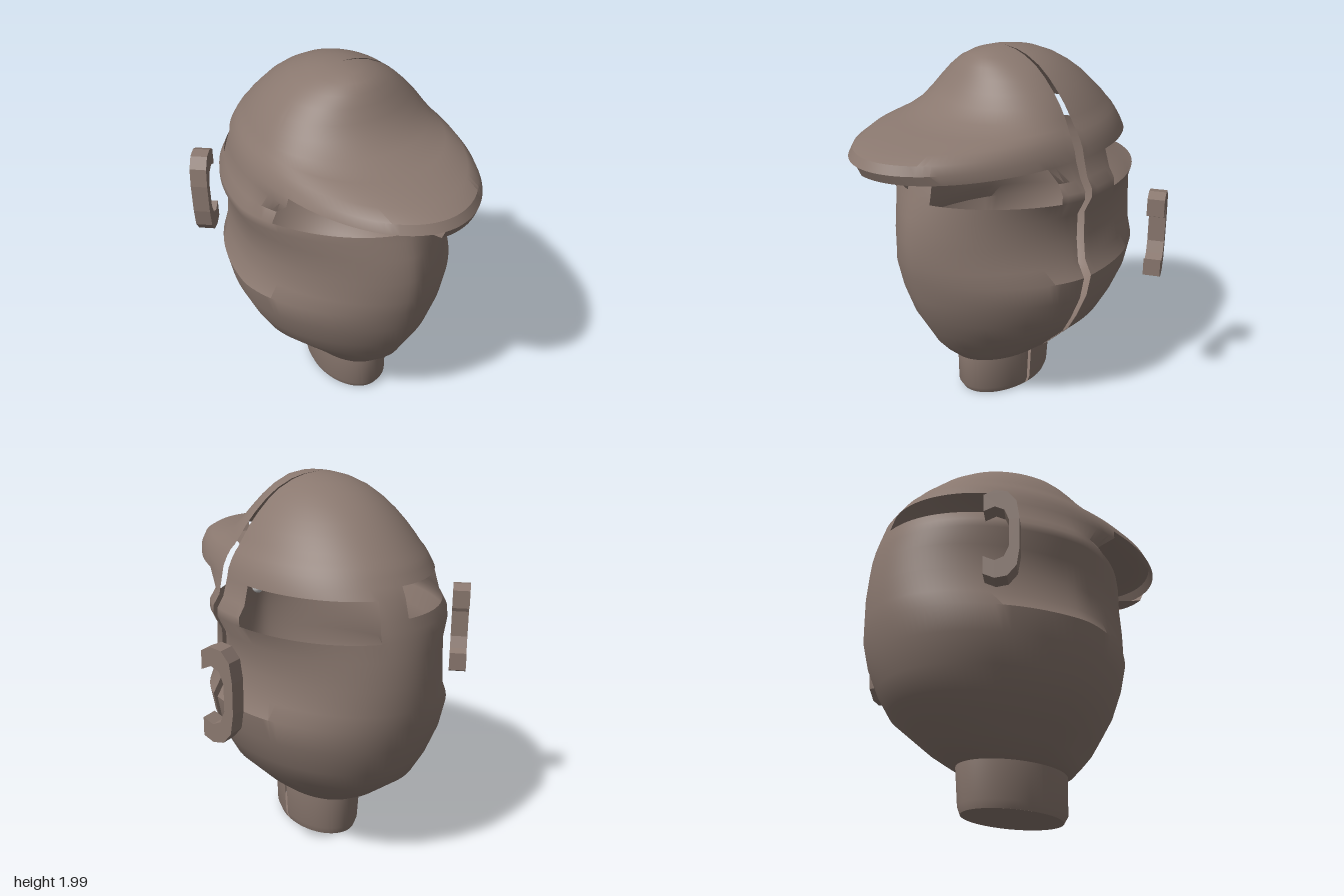
import * as THREE from 'three';
import { toCreasedNormals } from 'three/addons/utils/BufferGeometryUtils.js';

const CX = -0.075, CZ = -0.055, DEG = Math.PI / 180;
const COLUMNS = 120, FIRST = 2.2, LAST = 358.1; // the seam lies between these angles, on the +x side

// height, half width in x, front z, back z
const PROFILE = [
  [0.01, 0.185, 0.24, -0.34],
  [0.05, 0.2, 0.265, -0.355],
  [0.25, 0.21, 0.265, -0.37],
  [0.265, 0.24, 0.3, -0.42],
  [0.33, 0.32, 0.37, -0.53],
  [0.4, 0.39, 0.43, -0.62],
  [0.49, 0.48, 0.48, -0.735],
  [0.6, 0.54, 0.545, -0.8],
  [0.74, 0.6, 0.595, -0.855],
  [0.87, 0.625, 0.625, -0.885],
  [0.95, 0.58, 0.64, -0.893],
  [1.08, 0.565, 0.645, -0.897],
  [1.22, 0.565, 0.63, -0.885],
  [1.31, 0.61, 0.605, -0.87],
  [1.355, 0.61, 0.595, -0.86],
  [1.41, 0.575, 0.58, -0.845],
  [1.505, 0.55, 0.87, -0.815],
  [1.555, 0.54, 0.895, -0.785],
  [1.6, 0.52, 0.87, -0.755],
  [1.635, 0.5, 0.78, -0.73],
  [1.66, 0.48, 0.56, -0.705],
  [1.7, 0.455, 0.4, -0.67],
  [1.76, 0.415, 0.31, -0.605],
  [1.82, 0.365, 0.26, -0.54],
  [1.88, 0.305, 0.22, -0.455],
  [1.93, 0.24, 0.185, -0.365],
  [1.97, 0.16, 0.145, -0.26],
  [1.99, 0.09, 0.08, -0.16],
  [2.0, 0.0, -0.055, -0.055]
];

// openings: angle range (0 = +x, 90 = front) and height range
const OPENINGS = [
  [14, 78, 1.31, 1.505],
  [94, 160, 1.355, 1.555],
  [213, 266, 1.41, 1.555],
  [282, 342, 1.31, 1.505]
];

const angleAt = (j) => FIRST + (LAST - FIRST) * j / COLUMNS;

function shellPoint(i, j) {
  const [y, a, front, back] = PROFILE[i];
  const t = angleAt(j) * DEG, c = Math.cos(t), s = Math.sin(t);
  // the face tapers towards its middle, the rest is elliptical
  const power = s > 0 && y > 0.3 && y < 1.45 ? 1.6 : 2;
  const r = (Math.abs(c) ** power + Math.abs(s) ** power) ** (-1 / power);
  const depth = s > 0 ? front - CZ : CZ - back;
  return [CX + a * r * c, y, CZ + depth * r * s];
}

function isOpen(i, j) {
  const angle = angleAt(j + 0.5);
  const y = (PROFILE[i][0] + PROFILE[i + 1][0]) / 2;
  return OPENINGS.some(([a0, a1, y0, y1]) => angle > a0 && angle < a1 && y > y0 && y < y1);
}

// thin shell with openings, split along the seam
function shellGeometry() {
  const pos = [];
  for (let i = 0; i < PROFILE.length - 1; i++) {
    for (let j = 0; j < COLUMNS; j++) {
      if (isOpen(i, j)) continue;
      const a = shellPoint(i, j), b = shellPoint(i + 1, j);
      const c = shellPoint(i + 1, j + 1), d = shellPoint(i, j + 1);
      pos.push(...a, ...b, ...c, ...a, ...c, ...d);
    }
  }
  const geometry = new THREE.BufferGeometry();
  geometry.setAttribute('position', new THREE.Float32BufferAttribute(pos, 3));
  return toCreasedNormals(geometry, 0.6);
}

// C-shaped faceted bracket, open towards its own +x
function bracketGeometry() {
  const outside = [[0.085, 0.22], [0.03, 0.245], [-0.03, 0.235], [-0.075, 0.18], [-0.09, 0.08]];
  const inside = [[-0.04, 0.07], [-0.015, 0.13], [0.03, 0.15], [0.085, 0.125]];
  const mirror = (list) => list.map(([x, y]) => [x, -y]).reverse();
  const outline = [...outside, ...mirror(outside), ...mirror(inside), ...inside];
  const shape = new THREE.Shape(outline.map(([x, y]) => new THREE.Vector2(x, y)));
  const geometry = new THREE.ExtrudeGeometry(shape, { depth: 0.09, bevelEnabled: false });
  return geometry.translate(0, 0, -0.045);
}

export function createModel() {
  const group = new THREE.Group();
  const skin = new THREE.MeshStandardMaterial({ color: 0x8a786f, side: THREE.DoubleSide });
  const grey = new THREE.MeshStandardMaterial({ color: 0xcccccc });
  const add = (name, geometry, material, x = 0, y = 0, z = 0, turn = 0) => {
    const mesh = new THREE.Mesh(geometry, material);
    mesh.name = name;
    mesh.position.set(x, y, z);
    mesh.rotation.y = turn * DEG;
    group.add(mesh);
  };

  // head, neck and peaked cap in one split shell
  add('headShell', shellGeometry(), skin);

  // floor of the neck
  const floor = new THREE.CircleGeometry(1, 48).rotateX(Math.PI / 2).scale(0.185, 1, 0.29);
  add('neckFloor', floor, skin, CX, 0.01, -0.05);

  // loose ear brackets
  const bracket = bracketGeometry();
  add('leftEarBracket', bracket, skin, 0.68, 1.045, -0.45, -60);
  add('rightEarBracket', bracket, skin, -0.68, 1.19, -0.52, 51.5);

  // small eyes seen through the openings
  const eye = new THREE.SphereGeometry(0.03, 20, 14);
  add('leftEye', eye, grey, 0.29, 1.425, -0.055);
  add('rightEye', eye, grey, -0.42, 1.5, -0.055);
  return group;
}
